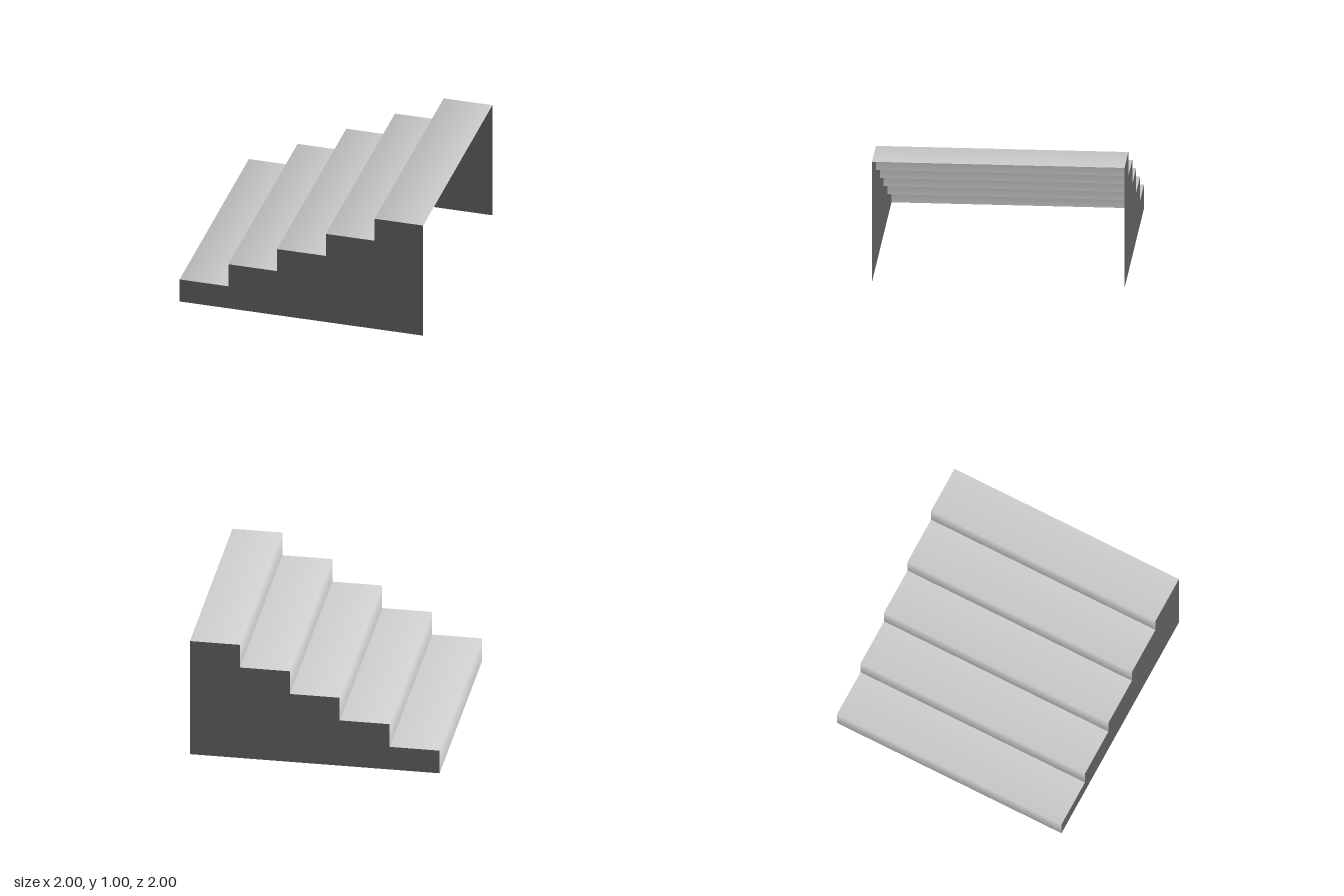
import * as THREE from 'three';

const STEPS = 5, RUN = 0.4, RISE = 0.2, HALF = 1;

// One riser and tread as a folded sheet, shaded smoothly over the nosing
function stepGeometry() {
  const profile = [[0, 0], [0, RISE], [RUN, RISE]];
  const slope = Math.hypot(RISE, RUN);
  const bends = [[-1, 0], [-RISE / slope, RUN / slope], [0, 1]];
  const positions = [], normals = [], index = [];
  profile.forEach(([x, y], i) => {
    for (const z of [-HALF, HALF]) {
      positions.push(x, y, z);
      normals.push(bends[i][0], bends[i][1], 0);
    }
    if (i < 2) {
      const a = i * 2;
      index.push(a, a + 1, a + 3, a, a + 3, a + 2);
    }
  });
  const geometry = new THREE.BufferGeometry();
  geometry.setAttribute('position', new THREE.Float32BufferAttribute(positions, 3));
  geometry.setAttribute('normal', new THREE.Float32BufferAttribute(normals, 3));
  geometry.setIndex(index);
  return geometry;
}

// Stepped outline of the side walls
function sideShape() {
  const shape = new THREE.Shape();
  shape.moveTo(-1, 0);
  for (let i = 0; i < STEPS; i++) {
    shape.lineTo(-1 + i * RUN, (i + 1) * RISE);
    shape.lineTo(-1 + (i + 1) * RUN, (i + 1) * RISE);
  }
  shape.lineTo(1, 0);
  shape.closePath();
  return shape;
}

export function createModel() {
  const model = new THREE.Group();
  model.name = 'staircase';
  const stepMaterial = new THREE.MeshStandardMaterial({ color: 0xcccccc, side: THREE.DoubleSide });
  const sideMaterial = new THREE.MeshStandardMaterial({ color: 0x5c5c5c, side: THREE.DoubleSide });

  // Steps climbing towards +x, open underneath
  const step = stepGeometry();
  for (let i = 0; i < STEPS; i++) {
    const mesh = new THREE.Mesh(step, stepMaterial);
    mesh.name = `step${i + 1}`;
    mesh.position.set(-1 + i * RUN, i * RISE, 0);
    model.add(mesh);
  }

  // Thin walls at the front and back, each facing outwards
  const wall = new THREE.ShapeGeometry(sideShape());
  const frontWall = new THREE.Mesh(wall, sideMaterial);
  frontWall.name = 'frontWall';
  frontWall.position.z = HALF;
  const backWall = new THREE.Mesh(wall, sideMaterial);
  backWall.name = 'backWall';
  backWall.position.z = -HALF;
  backWall.scale.z = -1;
  model.add(frontWall, backWall);

  return model;
}
